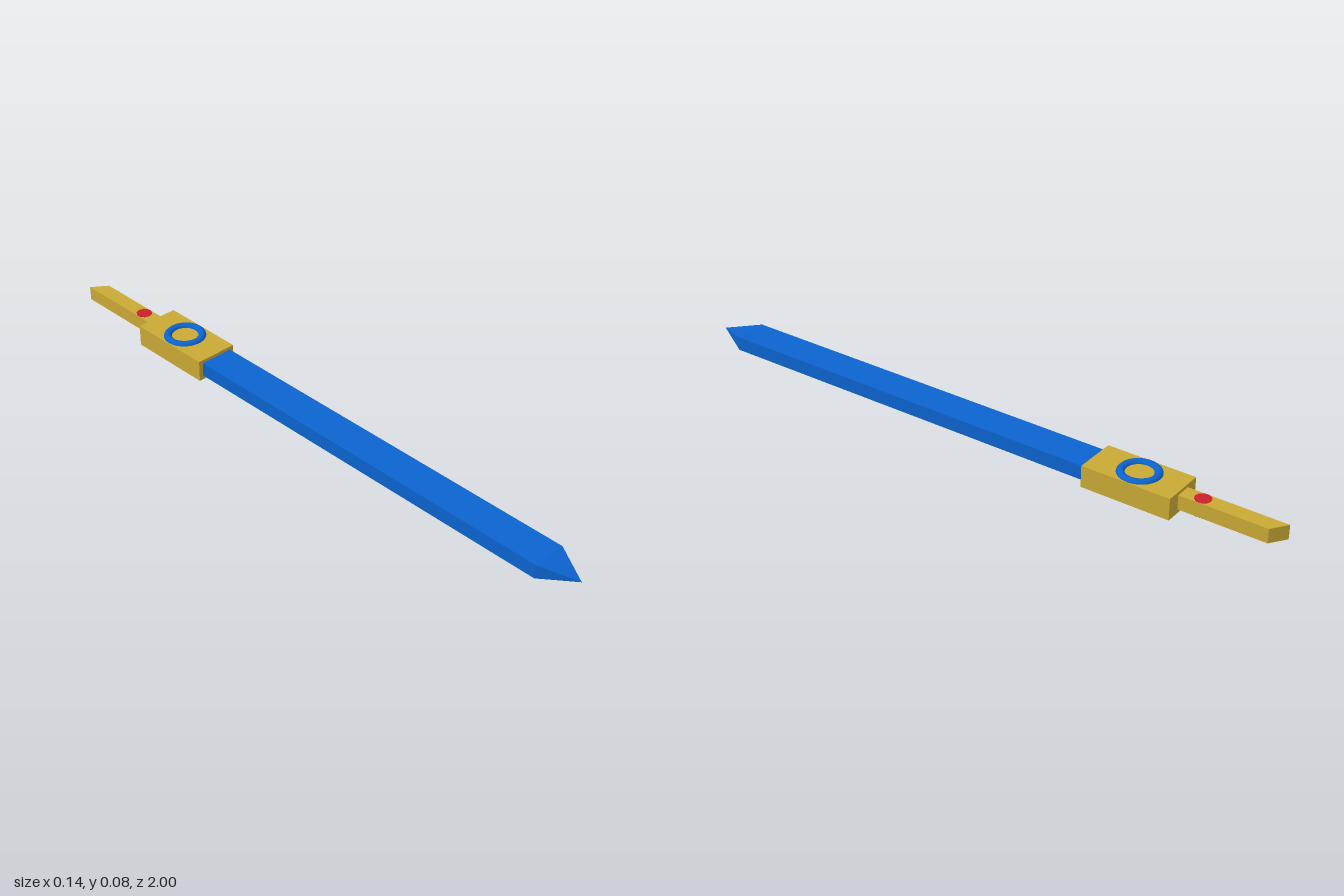
import * as THREE from 'three';

const blue = new THREE.MeshStandardMaterial({ name: 'blade blue', color: 0x0b63ce, flatShading: true });
const smoothBlue = blue.clone();
smoothBlue.flatShading = false;
const gold = new THREE.MeshStandardMaterial({ name: 'gold', color: 0xc9a835, flatShading: true });
const red = new THREE.MeshStandardMaterial({ name: 'gem red', color: 0xcc1f2d, flatShading: true });

const MID_Y = 0.0355;   // height of the sword's long axis
const THICK = 0.045;    // thickness of blade and grip

function addPart(group, name, geometry, material, x, y, z) {
  const mesh = new THREE.Mesh(geometry, material);
  mesh.name = name;
  mesh.position.set(x, y, z);
  group.add(mesh);
  return mesh;
}

// Box whose front face is optionally drawn together to a point
function bladeGeometry(width, thick, back, shoulder, tip) {
  const geo = new THREE.BoxGeometry(width, thick, 1, 1, 1, 2);
  const p = geo.attributes.position;
  for (let i = 0; i < p.count; i++) {
    const z = p.getZ(i);
    if (z > 0.25) p.setXYZ(i, 0, 0, tip);
    else p.setZ(i, z < -0.25 ? back : shoulder);
  }
  geo.computeVertexNormals();
  return geo;
}

export function createModel() {
  const sword = new THREE.Group();
  sword.name = 'sword';

  // Long flat blade with a four-sided point
  addPart(sword, 'blade', bladeGeometry(0.109, THICK, -0.43, 0.89, 1), blue, 0, MID_Y, 0);

  // Block-shaped guard
  addPart(sword, 'guard', new THREE.BoxGeometry(0.137, 0.068, 0.282), gold, 0, 0.034, -0.552);

  // Ring set into the top of the guard
  const ring = addPart(sword, 'guardRing', new THREE.TorusGeometry(0.053, 0.013, 12, 48), smoothBlue, 0, 0.065, -0.556);
  ring.rotation.x = -Math.PI / 2;

  // Grip with a slanted end, drawn from above (shape y becomes -z)
  const outline = new THREE.Shape([
    new THREE.Vector2(-0.025, 0.68),
    new THREE.Vector2(0.025, 0.68),
    new THREE.Vector2(0.025, 0.965),
    new THREE.Vector2(-0.025, 1),
  ]);
  const gripGeo = new THREE.ExtrudeGeometry(outline, { depth: THICK, bevelEnabled: false });
  gripGeo.rotateX(-Math.PI / 2);
  addPart(sword, 'grip', gripGeo, gold, 0, MID_Y - THICK / 2, 0);

  // Gem running through the grip, showing above and below
  addPart(sword, 'gem', new THREE.CylinderGeometry(0.0248, 0.0248, THICK + 0.003, 10), red, 0, MID_Y, -0.755);

  return sword;
}
